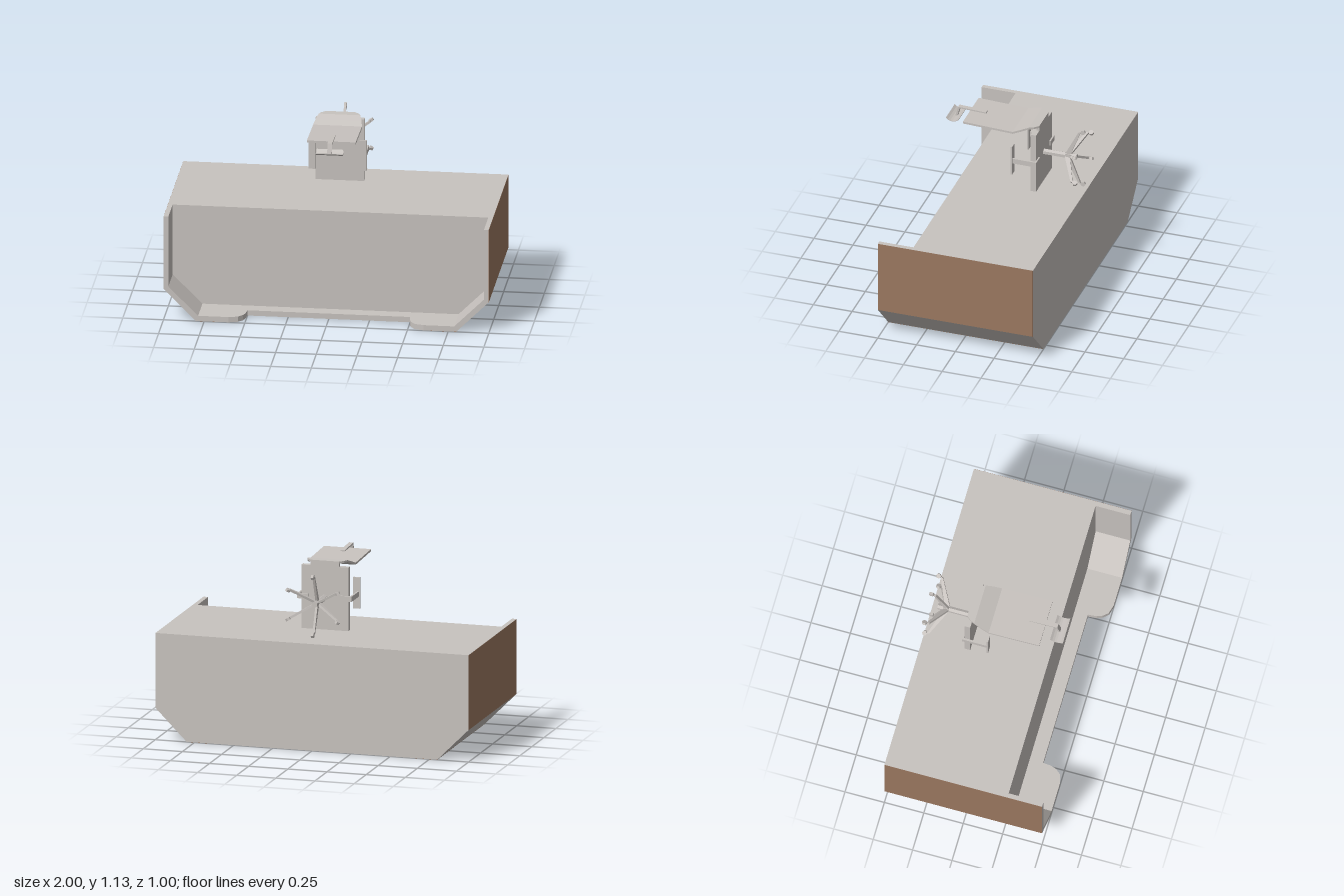
import * as THREE from 'three';

const grey = new THREE.MeshStandardMaterial({ color: 0xc8c3bf });
grey.name = 'pale grey';
const brown = new THREE.MeshStandardMaterial({ color: 0x9b7860 });
brown.name = 'wood brown';

function add(parent, name, geo, mat = grey) {
  const flat = geo.index ? geo.toNonIndexed() : geo;
  flat.computeVertexNormals();
  const mesh = new THREE.Mesh(flat, mat);
  mesh.name = name;
  parent.add(mesh);
  return mesh;
}

// Box given by its minimum and maximum on each axis
function box(parent, name, [x0, x1], [y0, y1], [z0, z1], mat) {
  const g = new THREE.BoxGeometry(x1 - x0, y1 - y0, z1 - z0);
  g.translate((x0 + x1) / 2, (y0 + y1) / 2, (z0 + z1) / 2);
  return add(parent, name, g, mat);
}

function prism(points, depth) {
  const shape = new THREE.Shape(points.map(([x, y]) => new THREE.Vector2(x, y)));
  return new THREE.ExtrudeGeometry(shape, { depth, bevelEnabled: false });
}

// Side profile of (z, y) points, extruded across x and centred
function sideProfile(points, width) {
  return prism(points, width).rotateY(-Math.PI / 2).translate(width / 2, 0, 0);
}

function buildDesk() {
  const desk = new THREE.Group();
  desk.name = 'desk';
  const e = 0.001; // body sits just inside the brown plates

  // Solid body with chamfered lower edges
  const body = prism([[-1 + e, 0.67], [-1 + e, 0.2], [-0.8, e], [0.8, e], [1 - e, 0.2], [1 - e, 0.67]], 0.78);
  add(desk, 'deskBody', body.translate(0, 0, -0.5));

  // Thin floor with a shallow notch between two rounded feet
  const half = [[0.5, 0.365], [0.505, 0.42], [0.517, 0.452], [0.545, 0.485], [0.6, 0.5], [0.62, 0.5]];
  const front = [...half.map(([x, z]) => [-x, z]).reverse(), ...half];
  const floor = prism([[-0.62, 0.28], ...front, [0.62, 0.28]], 0.035 - e);
  add(desk, 'frontFloor', floor.rotateX(Math.PI / 2).translate(0, 0.035, 0));

  for (const s of [-1, 1]) {
    // Side wall, chamfer and foot around the recess
    const wall = prism([[1 - e, 0.67], [1 - e, 0.2], [0.8, e], [0.62, e], [0.62, 0.035],
      [0.787, 0.035], [0.97, 0.217], [0.97, 0.67]].map(([x, y]) => [s * x, y]), 0.22);
    add(desk, 'frontWall', wall.translate(0, 0, 0.28));

    // Brown side panel and bottom strip
    box(desk, 'sidePanel', s > 0 ? [0.997, 1] : [-1, -0.997], [0.2, 0.67 - e], [-0.5 + e, 0.5 - e], brown);
    box(desk, 'bottomStrip', s > 0 ? [0.64, 0.8] : [-0.8, -0.64], [0, 0.003], [-0.5 + e, 0.5 - e], brown);
  }
  return desk;
}

function buildChair() {
  const chair = new THREE.Group();
  chair.name = 'chair';
  box(chair, 'seat', [-0.15, 0.15], [0.7, 1.098], [-0.232, -0.197]);
  box(chair, 'backConnector', [-0.09, 0.09], [1.098, 1.121], [-0.232, -0.214]);

  // Bent backrest: z, centre height, half width
  const stations = [[-0.232, 1.126, 0.09], [-0.205, 1.126, 0.115], [-0.178, 1.126, 0.128],
    [-0.13, 1.108, 0.141], [-0.08, 1.089, 0.15], [0.24, 1.101, 0.15]];
  const n = stations.length - 1;
  const back = new THREE.BoxGeometry(2, 0.013, n, 1, 1, n);
  const p = back.attributes.position;
  for (let i = 0; i < p.count; i++) {
    const [z, y, w] = stations[Math.round(p.getZ(i) + n / 2)];
    p.setXYZ(i, p.getX(i) * w, p.getY(i) + y, z);
  }
  add(chair, 'backrest', back);

  // Headrest bracket and curved pad
  add(chair, 'headrestBracket', sideProfile([[0.137, 1.107], [0.307, 1.113], [0.322, 1.056],
    [0.334, 1.058], [0.317, 1.122], [0.137, 1.115]], 0.028));
  const arc = [-1, -0.67, -0.33, 0, 0.33, 0.67, 1];
  const curve = (t, lift) => [0.331 + 0.041 * t, 1.053 + 0.018 * t * t + lift];
  add(chair, 'headrest', sideProfile([...arc.map(t => curve(t, 0)),
    ...arc.map(t => curve(-t, 0.004))], 0.166));

  // Armrests, each an L-shaped support with a flat pad
  for (const s of [-1, 1]) {
    const span = (a, b) => s > 0 ? [a, b] : [-b, -a];
    box(chair, 'armBracket', span(0.1, 0.174), [0.887, 0.92], [-0.241, -0.231]);
    box(chair, 'armSupport', span(0.162, 0.174), [0.887, 0.92], [-0.241, -0.085]);
    box(chair, 'armPad', span(0.135, 0.179), [0.81, 1.006], [-0.087, -0.076]);
  }

  // Central column
  const column = new THREE.CylinderGeometry(0.019, 0.019, 0.212, 6);
  add(chair, 'column', column.rotateX(Math.PI / 2).translate(0, 0.903, -0.338));

  // Six spoked legs with castors
  for (let i = 0; i < 6; i++) {
    const leg = new THREE.Group();
    leg.name = 'castorLeg';
    leg.position.y = 0.903;
    leg.rotation.z = i * Math.PI / 3;
    add(leg, 'spoke', sideProfile([[-0.367, 0.006], [-0.402, 0.006], [-0.467, 0.174],
      [-0.472, 0.183], [-0.455, 0.178]], 0.014));
    const wheel = new THREE.CylinderGeometry(0.016, 0.016, 0.016, 6);
    add(leg, 'castor', wheel.rotateZ(Math.PI / 2).translate(0, 0.182, -0.484));
    chair.add(leg);
  }
  return chair;
}

export function createModel() {
  const model = new THREE.Group();
  model.name = 'deskAndChair';
  model.add(buildDesk(), buildChair());
  return model;
}
